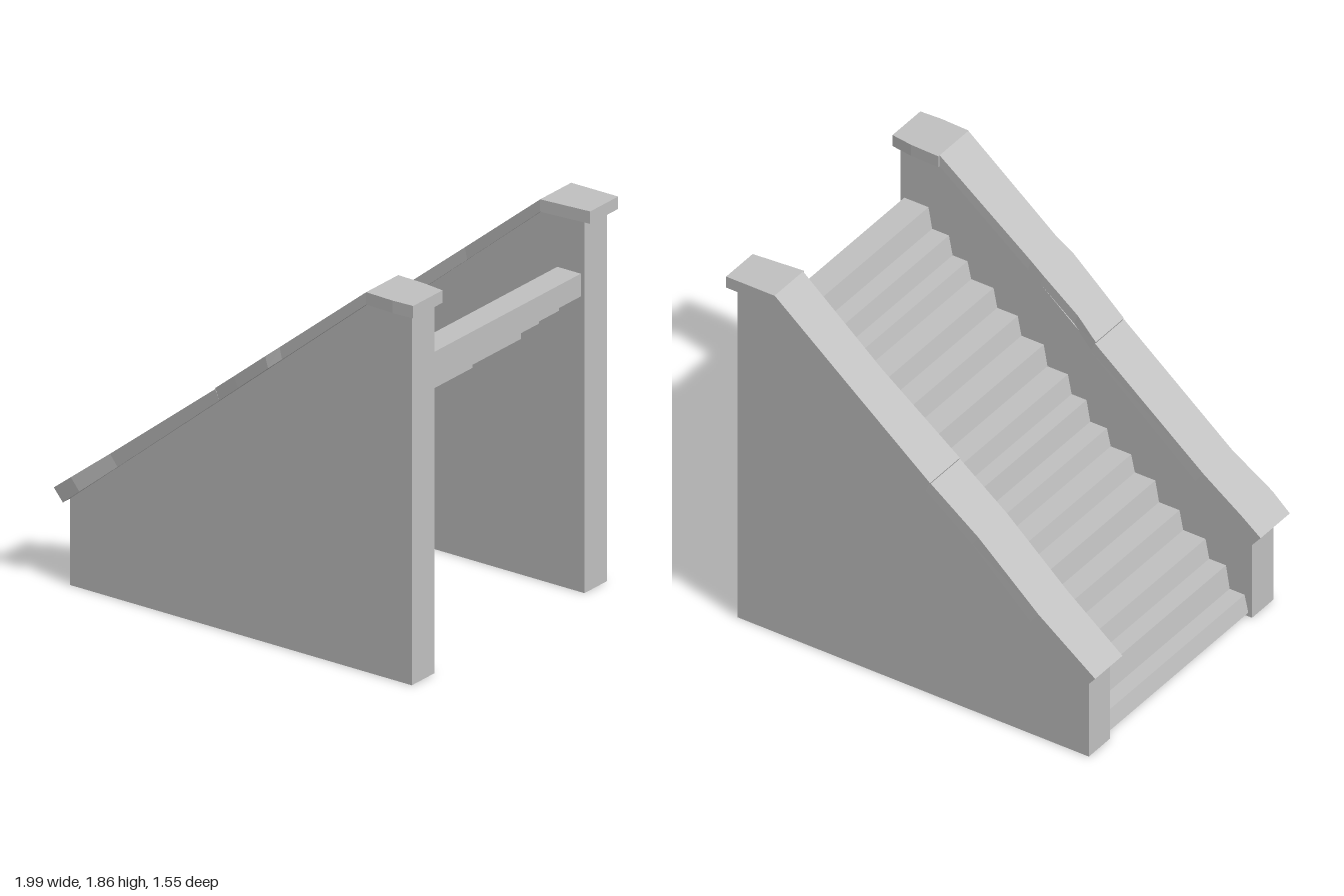
import * as THREE from 'three';

const stone = new THREE.MeshStandardMaterial({ color: 0xc0c0c0 });
stone.name = 'stone';

// Solid through quad sections along x; each row is [xBottom, yBottom, xTop, yTop, zLow, zHigh]
function loft(rows) {
  const rings = rows.map(([xb, yb, xt, yt, z0, z1]) => [[xb, yb, z0], [xb, yb, z1], [xt, yt, z1], [xt, yt, z0]]);
  const pos = [];
  const quad = (a, b, c, d) => pos.push(...a, ...b, ...c, ...a, ...c, ...d);
  for (let r = 0; r < rings.length - 1; r++) {
    for (let i = 0; i < 4; i++) {
      const j = (i + 1) % 4;
      quad(rings[r][i], rings[r + 1][i], rings[r + 1][j], rings[r][j]);
    }
  }
  const end = rings[rings.length - 1];
  quad(...rings[0]);
  quad(end[3], end[2], end[1], end[0]);
  const g = new THREE.BufferGeometry();
  g.setAttribute('position', new THREE.Float32BufferAttribute(pos, 3));
  g.computeVertexNormals();
  return g;
}

// Coping section: sloped up to x = 0.73, level beyond it
function copingRow([x, z0, z1], lift = 0) {
  if (x >= 0.73) return [x, 1.8, x, 1.86, z0, z1];
  const t = (x + 1) / 1.73;
  const sag = 0.012 * Math.sin(Math.PI * t);
  return [-0.95 + 1.68 * t, 0.41 + 1.39 * t, x, 0.47 + 1.39 * t - sag + lift, z0, z1];
}

export function createModel() {
  const model = new THREE.Group();
  const add = (name, geometry) => {
    const mesh = new THREE.Mesh(geometry, stone);
    mesh.name = name;
    model.add(mesh);
    return mesh;
  };

  // Side walls
  const profile = new THREE.Shape([[-0.94, 0], [0.95, 0], [0.95, 1.805], [0.73, 1.805], [-0.94, 0.42]]
    .map(([x, y]) => new THREE.Vector2(x, y)));
  for (const [name, z, depth] of [['frontWall', 0.55, 0.17], ['backWall', -0.735, 0.168]]) {
    add(name, new THREE.ExtrudeGeometry(profile, { depth, bevelEnabled: false })).position.z = z;
  }

  // Worn coping stones: lower slope, upper slope, level end block
  const copings = {
    front: [
      [[-1, 0.53, 0.76], [-0.9, 0.53, 0.768], [-0.7, 0.52, 0.745], [-0.11, 0.53, 0.757]],
      [[-0.11, 0.535, 0.757], [0, 0.555, 0.765], [0.18, 0.55, 0.775], [0.25, 0.55, 0.762], [0.73, 0.535, 0.762]],
      [[0.73, 0.525, 0.764], [0.88, 0.53, 0.77], [0.99, 0.545, 0.764]],
    ],
    back: [
      [[-1, -0.773, -0.558], [-0.7, -0.78, -0.555], [-0.36, -0.755, -0.53], [-0.11, -0.765, -0.535]],
      [[-0.11, -0.77, -0.535], [0.3, -0.768, -0.552], [0.73, -0.764, -0.54]],
      [[0.73, -0.765, -0.533], [0.99, -0.765, -0.556]],
    ],
  };
  for (const [side, pieces] of Object.entries(copings)) {
    ['LowerCoping', 'UpperCoping', 'EndBlock'].forEach((part, i) =>
      add(side + part, loft(pieces[i].map((row) => copingRow(row, i === 1 ? 0.005 : 0)))));
  }

  // Fifteen uneven stone steps, open underneath
  const noses = [-0.91, -0.81, -0.7, -0.56, -0.43, -0.3, -0.17, -0.06, 0.04, 0.17, 0.31, 0.44, 0.58, 0.68, 0.79];
  const levels = [0.02, 0.11, 0.23, 0.33, 0.43, 0.54, 0.63, 0.72, 0.83, 0.93, 1.04, 1.14, 1.24, 1.33, 1.43, 1.54];
  noses.forEach((x, i) => {
    const back = i < 14 ? noses[i + 1] + 0.02 : 0.93;
    const undercut = i % 6 === 4 ? 0.04 : 0;
    add('step' + (i + 1), loft([
      [x - 0.01, levels[i], x + 0.01, levels[i + 1], -0.58, 0.56],
      [back - undercut, levels[i], back, levels[i + 1], -0.58, 0.56],
    ]));
  });
  return model;
}
